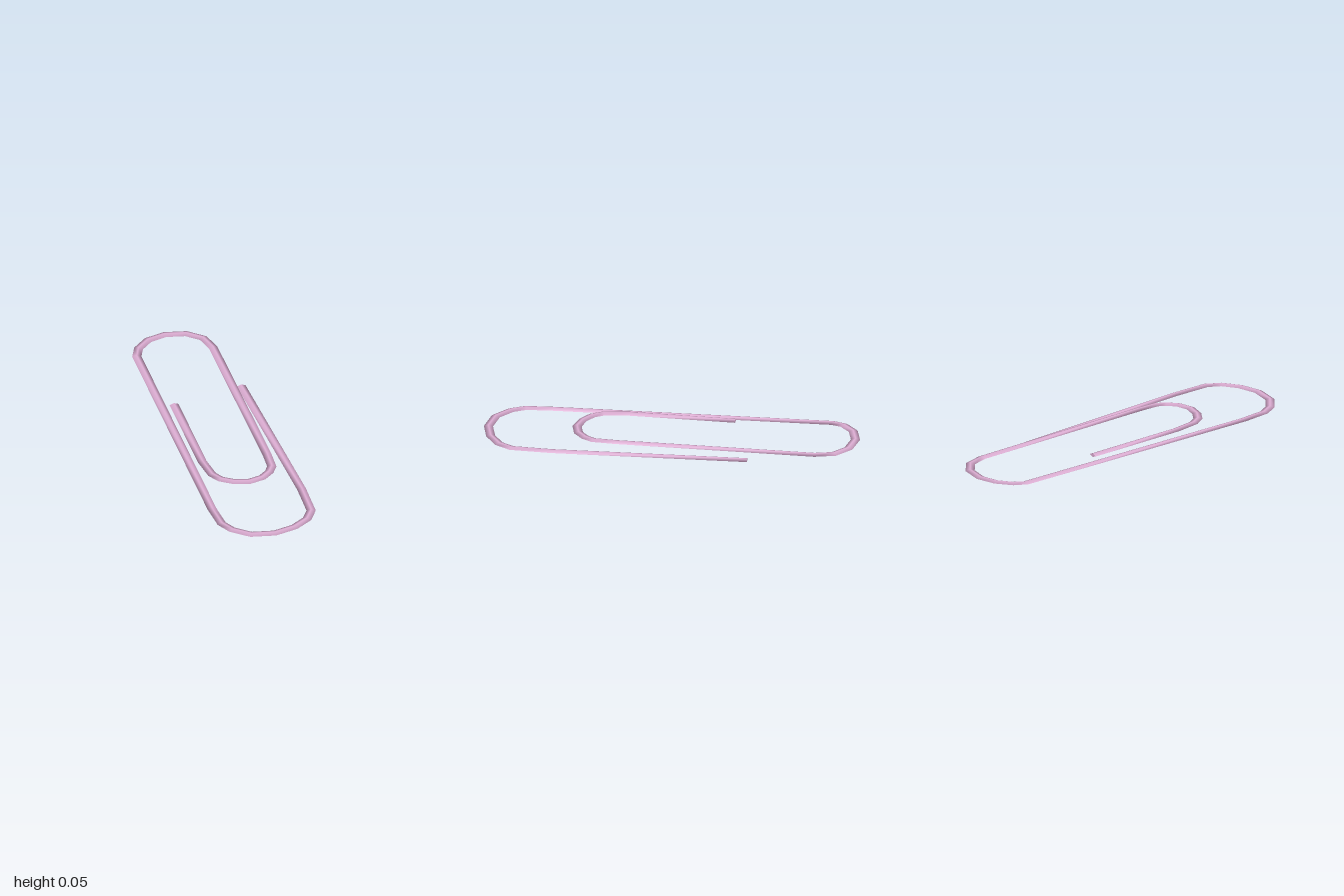
import * as THREE from 'three';

const HALF_WIDTH = 0.024, HALF_HEIGHT = 0.009, LOW = 0.009, HIGH = 0.038;

// Centre line of the wire seen from above, as [x, z] corners
const lowerLoop = [
  [0.206, -0.44], [0.26, 0.6], [0.256, 0.81], [0.215, 0.882], [0.13, 0.94], [0.016, 0.97],
  [-0.108, 0.95], [-0.193, 0.882], [-0.232, 0.81], [-0.245, 0.66],
];
const upperLoop = [
  [-0.167, -0.947], [-0.069, -0.975], [0.042, -0.955], [0.119, -0.89], [0.146, -0.79],
  [0.158, 0.27], [0.153, 0.39], [0.127, 0.437], [0.077, 0.48], [0, 0.5],
  [-0.078, 0.48], [-0.138, 0.44], [-0.171, 0.385], [-0.19, 0.25], [-0.193, -0.315],
];

// Sweeps a flattened four-sided section along the path, mitred at each bend
function sweepWire(path) {
  const pos = [], index = [], last = path.length - 1;
  const flatDir = (a, b) => new THREE.Vector3(b.x - a.x, 0, b.z - a.z).normalize();
  path.forEach((p, i) => {
    const before = flatDir(path[Math.max(i - 1, 0)], path[Math.max(i, 1)]);
    const after = flatDir(path[Math.min(i, last - 1)], path[Math.min(i + 1, last)]);
    const t = before.clone().add(after).normalize();
    const w = HALF_WIDTH / t.dot(before);
    pos.push(
      p.x + t.z * w, p.y, p.z - t.x * w,
      p.x, p.y + HALF_HEIGHT, p.z,
      p.x - t.z * w, p.y, p.z + t.x * w,
      p.x, p.y - HALF_HEIGHT, p.z,
    );
    if (i === last) return;
    for (let k = 0; k < 4; k++) {
      const a = i * 4 + k, b = i * 4 + (k + 1) % 4;
      index.push(a, b, a + 4, b, b + 4, a + 4);
    }
  });
  // End caps on their own vertices, so the cut stays sharp
  const caps = [[0, [0, 2, 1, 0, 3, 2]], [last, [0, 1, 2, 0, 2, 3]]];
  for (const [ring, faces] of caps) {
    const base = pos.length / 3;
    pos.push(...pos.slice(ring * 12, ring * 12 + 12));
    index.push(...faces.map((f) => base + f));
  }
  const geometry = new THREE.BufferGeometry();
  geometry.setAttribute('position', new THREE.Float32BufferAttribute(pos, 3));
  geometry.setIndex(index);
  geometry.computeVertexNormals();
  return geometry;
}

export function createModel() {
  const group = new THREE.Group();
  group.name = 'paperClip';

  // The long left limb climbs from the lower loop to the upper one
  const at = (y) => ([x, z]) => new THREE.Vector3(x, y, z);
  const path = [
    ...lowerLoop.map(at(LOW)),
    new THREE.Vector3(-0.262, 0.031, -0.82),
    new THREE.Vector3(-0.235, 0.035, -0.886),
    ...upperLoop.map(at(HIGH)),
  ];

  const wire = new THREE.Mesh(
    sweepWire(path),
    new THREE.MeshStandardMaterial({ color: 0xe0b0d6 }),
  );
  wire.name = 'bentWire';
  group.add(wire);
  return group;
}
